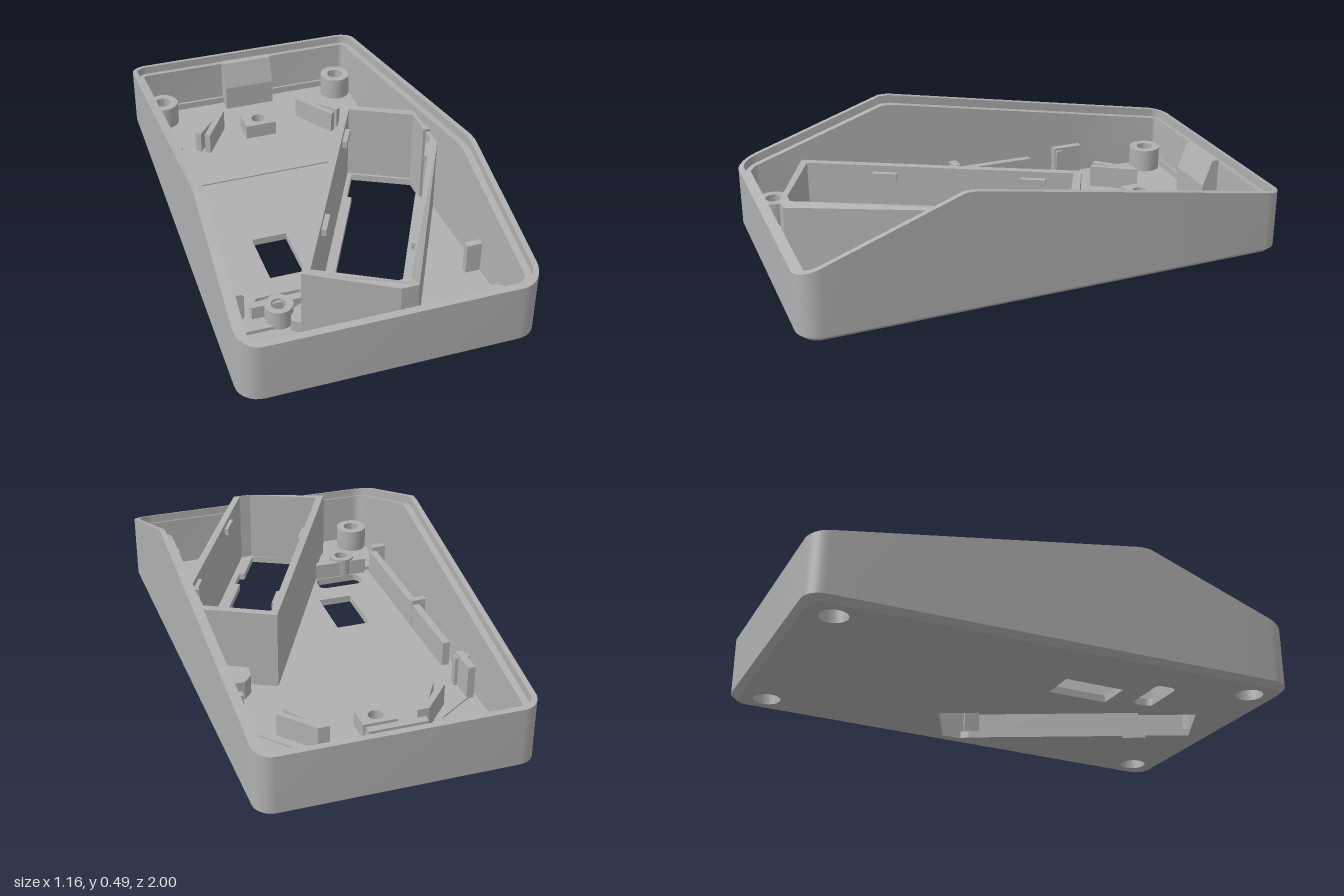
import * as THREE from 'three';
import { toCreasedNormals } from 'three/addons/utils/BufferGeometryUtils.js';

const FLOOR = 0.03;
const plastic = new THREE.MeshStandardMaterial({ color: 0xb0b0b0, side: THREE.DoubleSide });
plastic.name = 'grey plastic';

// Rim height along z: two slopes meeting in a blunt peak
const rim = z => Math.min(0.436 + 0.176 * z, 0.625 - 0.36 * z, 0.493);
const halfWidth = z => 0.557 + 0.0235 * z;

// Rounded, slightly tapered outline in plan, moved inwards by d
function outline(d) {
  const half = [];
  const arc = (zc, r, a0) => {
    for (let i = 0; i <= 8; i++) {
      const a = a0 + (i / 8) * Math.PI / 2;
      const z = zc + Math.cos(a) * r;
      half.push([halfWidth(z) - d - r + Math.sin(a) * r, z]);
    }
  };
  const rf = 0.09 - d, rb = 0.07 - d;
  arc(1 - d - rf, rf, 0);
  for (const z of [0.7, 0.45, 0.41, 0.367, 0.324, 0.28, 0, -0.5]) half.push([halfWidth(z) - d, z]);
  arc(-1 + d + rb, rb, Math.PI / 2);
  return [...half, ...half.map(([x, z]) => [-x, z]).reverse()];
}

// Wall skin lofted through stacked outlines
function wallGeometry() {
  const rings = [
    [0.025, () => 0], [0, () => 0.022], [0, rim], [0.022, rim],
    [0.022, z => rim(z) - 0.035], [0.05, z => rim(z) - 0.035], [0.055, () => FLOOR],
  ];
  const pos = [], index = [];
  let n = 0;
  rings.forEach(([d, y], k) => {
    const pts = outline(d);
    n = pts.length;
    pts.forEach(([x, z], i) => {
      pos.push(x, y(z), z);
      if (k === 0) return;
      const c = k * n + i, e = k * n + (i + 1) % n;
      index.push(c - n, e - n, e, c - n, e, c);
    });
  });
  const g = new THREE.BufferGeometry();
  g.setAttribute('position', new THREE.Float32BufferAttribute(pos, 3));
  g.setIndex(index);
  return toCreasedNormals(g, 0.5);
}

// Plan polygon (x, z) with holes, raised from y0 to y1
const vecs = pts => pts.map(([x, z]) => new THREE.Vector2(x, z));
function slab(pts, y0, y1, holes = []) {
  const shape = new THREE.Shape(vecs(pts));
  shape.holes = holes.map(h => new THREE.Path(vecs(h)));
  const g = new THREE.ExtrudeGeometry(shape, { depth: y1 - y0, bevelEnabled: false });
  return g.rotateX(Math.PI / 2).translate(0, y1, 0);
}
const rect = (x0, x1, z0, z1) => [[x0, z0], [x1, z0], [x1, z1], [x0, z1]];
const circle = (x, z, r, n = 28) => Array.from({ length: n }, (_, i) => {
  const a = (i / n) * Math.PI * 2;
  return [x + Math.cos(a) * r, z + Math.sin(a) * r];
});
function roundRect(x0, x1, z0, z1, r) {
  const pts = [];
  [[x1 - r, z1 - r], [x0 + r, z1 - r], [x0 + r, z0 + r], [x1 - r, z0 + r]].forEach(([x, z], q) => {
    for (let i = 0; i <= 4; i++) {
      const a = (q + i / 4) * Math.PI / 2;
      pts.push([x + Math.cos(a) * r, z + Math.sin(a) * r]);
    }
  });
  return pts;
}

// Slanted compartment coordinates: u across, v along
const P = (u, v) => [-0.285 + 0.89 * u + 0.456 * v, 0.775 + 0.456 * u - 0.89 * v];

export function createModel() {
  const group = new THREE.Group();
  const add = (name, geometry) => {
    const m = new THREE.Mesh(geometry, plastic);
    m.name = name;
    group.add(m);
    return m;
  };
  const block = (name, x0, x1, y0, y1, z0, z1) => add(name, slab(rect(x0, x1, z0, z1), y0, y1));

  add('outerWall', wallGeometry());

  // Floor with screw holes, two windows and the compartment opening
  const screws = [[-0.42, -0.865], [0.42, -0.865], [-0.457, 0.87], [0.457, 0.87]];
  const opening = [
    P(0.095, 0.03), P(0.095, 0.27), P(0.07, 0.27), P(0.07, 0.93), P(0.05, 0.93), P(0.05, 1.1),
    [0.49, -0.064], [0.49, 0.02], P(0.337, 0.99), P(0.337, 0.32), P(0.36, 0.32), P(0.36, 0.22),
    P(0.337, 0.22), P(0.337, 0.035),
  ];
  add('floor', slab(outline(0.025), 0, FLOOR, [
    ...screws.map(([x, z]) => circle(x, z, 0.055)),
    rect(-0.285, -0.14, 0.13, 0.385),
    roundRect(-0.385, -0.18, 0.485, 0.575, 0.025),
    opening,
  ]));

  // Screw posts, recessed from below
  const post = [[0.055, 0], [0.055, 0.085], [0.035, 0.085], [0.035, 0.13], [0.068, 0.13], [0.068, FLOOR]];
  for (const [x, z] of screws) {
    const g = new THREE.LatheGeometry(post.map(p => new THREE.Vector2(...p)), 28);
    add('screwPost', toCreasedNormals(g, 0.5)).position.set(x, 0, z);
  }

  // Slanted compartment wall, its front edge trimmed lower
  const outer = [P(0, 0), [0.035, 0.938], [0.103, 0.938], [0.505, 0.15], [0.505, -0.105], P(0, 1.14)];
  const inner = [P(0.03, 0.03), [0.034, 0.905], [0.082, 0.905], [0.49, 0.109], [0.49, -0.075], P(0.03, 1.11)];
  const comp = slab(outer, 0.01, 0.357, [inner]);
  const p = comp.attributes.position;
  for (let i = 0; i < p.count; i++) {
    if (p.getY(i) > 0.3 && p.getZ(i) > 0.9) p.setY(i, 0.357 - (p.getZ(i) - 0.88) * 0.4);
  }
  comp.computeVertexNormals();
  add('compartmentWall', comp);

  // Small catches near the top of the compartment's long walls
  for (const [u, v] of [[0.03, 0.3], [0.03, 0.9], [0.37, 0.27], [0.37, 0.85]]) {
    add('compartmentCatch', slab([P(u, v), P(u + 0.02, v), P(u + 0.02, v + 0.1), P(u, v + 0.1)], 0.3, 0.33));
  }
  add('compartmentFoot', slab([[0.345, -0.19], [0.35, -0.25], [0.385, -0.29], [0.46, -0.29], [0.495, -0.26], [0.495, -0.11]], FLOOR, 0.11));

  // Thin raised board area on the floor
  add('floorPad', slab([[-0.47, -0.54], [-0.31, -0.645], [-0.27, -0.705], [0.27, -0.705], [0.32, -0.645],
    [0.485, -0.46], [0.485, -0.3], [-0.47, -0.3]], FLOOR, FLOOR + 0.006));

  // Diagonal brackets, mirrored, as pairs of thin fins
  for (const s of [-1, 1]) {
    for (const o of [0, 0.035]) {
      add('diagonalBracket', slab([[s * (0.34 - o), -0.57 + o * 0.8], [s * (0.32 - o), -0.553 + o * 0.8],
        [s * (0.19 - o * 0.5), -0.705], [s * (0.22 - o * 0.5), -0.705]], FLOOR, 0.13));
    }
  }
  add('mountBlock', slab(rect(-0.098, 0.04, -0.695, -0.59), FLOOR, 0.1, [circle(-0.028, -0.645, 0.03)]));

  // Wedge-topped port housing at the back
  const side = new THREE.Shape(vecs([[0.945, FLOOR], [0.875, FLOOR], [0.875, 0.14], [0.915, 0.25], [0.945, 0.25]]));
  add('portHousing', new THREE.ExtrudeGeometry(side, { depth: 0.225, bevelEnabled: false })
    .rotateY(Math.PI / 2).translate(-0.115, 0, 0));
  block('backLedge', -0.48, 0.48, FLOOR, 0.06, -0.955, -0.935);

  // Long rail on one side
  block('sideRail', -0.475, -0.445, FLOOR, 0.14, -0.3, 0.58);
  block('sideRailEnd', -0.475, -0.445, FLOOR, 0.17, -0.55, -0.42);

  // Short ribs on both side walls
  for (const z of [-0.44, 0.05, 0.58]) {
    const w = halfWidth(z) - 0.05;
    block('wallRib', -w, -w + 0.065, FLOOR, 0.16, z - 0.015, z + 0.015);
    block('wallRib', w - 0.065 + (z === 0.05 ? 0.035 : 0), w, FLOOR, z === 0.05 ? 0.37 : 0.16, z - 0.015, z + 0.015);
  }

  // Front mounting boss and its bracket
  block('bossBracket', -0.425, -0.18, FLOOR, 0.1, 0.58, 0.612);
  block('bossBase', -0.48, -0.26, FLOOR, 0.045, 0.6, 0.675);
  add('boss', slab(circle(-0.325, 0.63, 0.055), FLOOR, 0.11, [circle(-0.325, 0.63, 0.03)]));
  add('cornerStep', slab([[-0.28, 0.64], [-0.19, 0.6], [-0.19, 0.64], [-0.25, 0.74], [-0.3, 0.7]], FLOOR, 0.08));

  return group;
}
